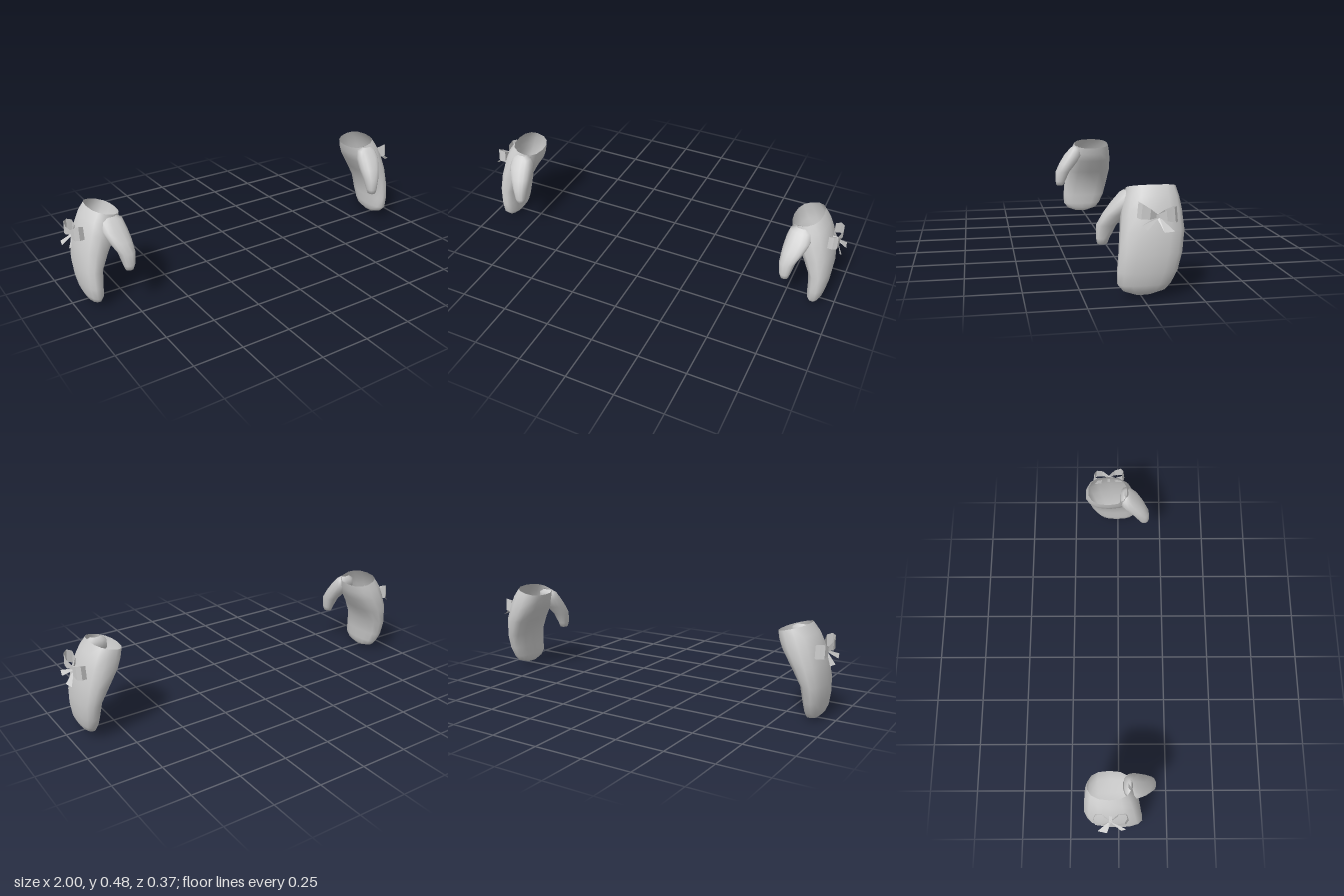
import * as THREE from 'three';

const SIDES = 14;
const grey = new THREE.MeshStandardMaterial({ color: 0xcccccc, side: THREE.DoubleSide });
const flatGrey = new THREE.MeshStandardMaterial({ color: 0xcccccc, side: THREE.DoubleSide, flatShading: true });

// Skin over rows of [x, y, z] points; s = -1 mirrors it in x.
function skin(name, rows, closed, material, s) {
  const n = rows[0].length, pos = [], index = [];
  rows.forEach(r => r.forEach(p => pos.push(p[0] * s, p[1], p[2])));
  const tri = (a, b, c) => (s > 0 ? index.push(a, b, c) : index.push(a, c, b));
  for (let j = 0; j < rows.length - 1; j++) {
    for (let i = 0; i < (closed ? n : n - 1); i++) {
      const k = (i + 1) % n, a = j * n + i, b = j * n + k;
      tri(a, a + n, b);
      tri(b, a + n, b + n);
    }
  }
  const g = new THREE.BufferGeometry();
  g.setAttribute('position', new THREE.Float32BufferAttribute(pos, 3));
  g.setIndex(index);
  g.computeVertexNormals();
  const mesh = new THREE.Mesh(g, material);
  mesh.name = name;
  return mesh;
}

// Rounded section between x0..x1 and z0..z1, raised by tilt towards x1.
function section([y, x0, x1, z0, z1, tilt = 0]) {
  const round = v => Math.sign(v) * Math.abs(v) ** 0.85;
  return Array.from({ length: SIDES }, (_, i) => {
    const a = (i / SIDES) * Math.PI * 2, c = round(Math.cos(a)), d = round(Math.sin(a));
    return [(x0 + x1) / 2 + c * (x1 - x0) / 2, y + tilt * c, (z0 + z1) / 2 + d * (z1 - z0) / 2];
  });
}

// y, x from, x to, z from, z to, tilt
const handSections = [
  [0.014, 0.895, 0.896, -0.005, 0.0],
  [0.016, 0.88, 0.91, -0.04, 0.035],
  [0.035, 0.866, 0.93, -0.098, 0.085],
  [0.065, 0.86, 0.942, -0.123, 0.11],
  [0.12, 0.856, 0.952, -0.15, 0.112],
  [0.2, 0.845, 0.957, -0.17, 0.105],
  [0.29, 0.8, 0.947, -0.184, 0.095, 0.01],
  [0.37, 0.748, 0.924, -0.18, 0.083, 0.015],
  [0.42, 0.73, 0.9, -0.173, 0.068, 0.02],
  [0.462, 0.722, 0.868, -0.162, 0.052, 0.021],
];
const thumbSections = [
  [0.208, 0.759, 0.761, 0.148, 0.15],
  [0.21, 0.74, 0.78, 0.128, 0.172],
  [0.235, 0.73, 0.787, 0.118, 0.177],
  [0.295, 0.721, 0.802, 0.088, 0.175],
  [0.345, 0.72, 0.83, 0.045, 0.149],
  [0.395, 0.724, 0.85, 0.01, 0.115],
  [0.435, 0.735, 0.84, 0.015, 0.079],
  [0.45, 0.765, 0.815, 0.035, 0.058],
];

// Bow: two pinched ribbon loops, two tails and a knot on the outer side.
function makeBow(s) {
  const bow = new THREE.Group();
  bow.name = 'bow';
  const K = [0.95, 0.365, -0.05];
  // outward, along, half ribbon width
  const loop = [
    [0, 0, 0.007], [0.022, 0.035, 0.022], [0.022, 0.07, 0.032], [0.004, 0.084, 0.034],
    [-0.022, 0.076, 0.032], [-0.024, 0.04, 0.022], [0, 0, 0.007],
  ];
  for (const d of [1, -1]) {
    const lift = d > 0 ? 0.35 : 0.08;
    const edge = e => loop.map(([o, a, w]) =>
      [K[0] + o - a * 0.1, K[1] + a * lift + e * w - (o < 0 ? 0.005 : 0), K[2] + d * a + e * d * -0.1 * w]);
    bow.add(skin('bowLoop', [edge(-1), edge(1)], false, flatGrey, s));
  }
  bow.add(skin('bowTail', [
    [[0.95, 0.364, -0.048], [0.95, 0.357, -0.054]],
    [[0.985, 0.335, 0.025], [0.99, 0.316, 0.0]],
  ], false, flatGrey, s));
  bow.add(skin('bowTail', [
    [[0.95, 0.357, -0.047], [0.95, 0.362, -0.056]],
    [[1.0, 0.306, -0.068], [0.99, 0.307, -0.114]],
  ], false, flatGrey, s));
  const knot = new THREE.Mesh(new THREE.BoxGeometry(0.03, 0.018, 0.014), flatGrey);
  knot.name = 'bowKnot';
  knot.position.set(0.938 * s, K[1] - 0.003, K[2]);
  bow.add(knot);
  return bow;
}

function makeMitten(s) {
  const mitten = new THREE.Group();
  mitten.name = s > 0 ? 'leftMitten' : 'rightMitten';
  mitten.add(
    skin('hand', handSections.map(section), true, grey, s),
    skin('thumb', thumbSections.map(section), true, grey, s),
    makeBow(s),
  );
  return mitten;
}

export function createModel() {
  const model = new THREE.Group();
  model.name = 'mittens';
  const left = makeMitten(1), right = makeMitten(-1);
  // The right mitten hangs a touch lower and further forward.
  right.position.set(0, -0.014, 0.011);
  model.add(left, right);
  return model;
}
